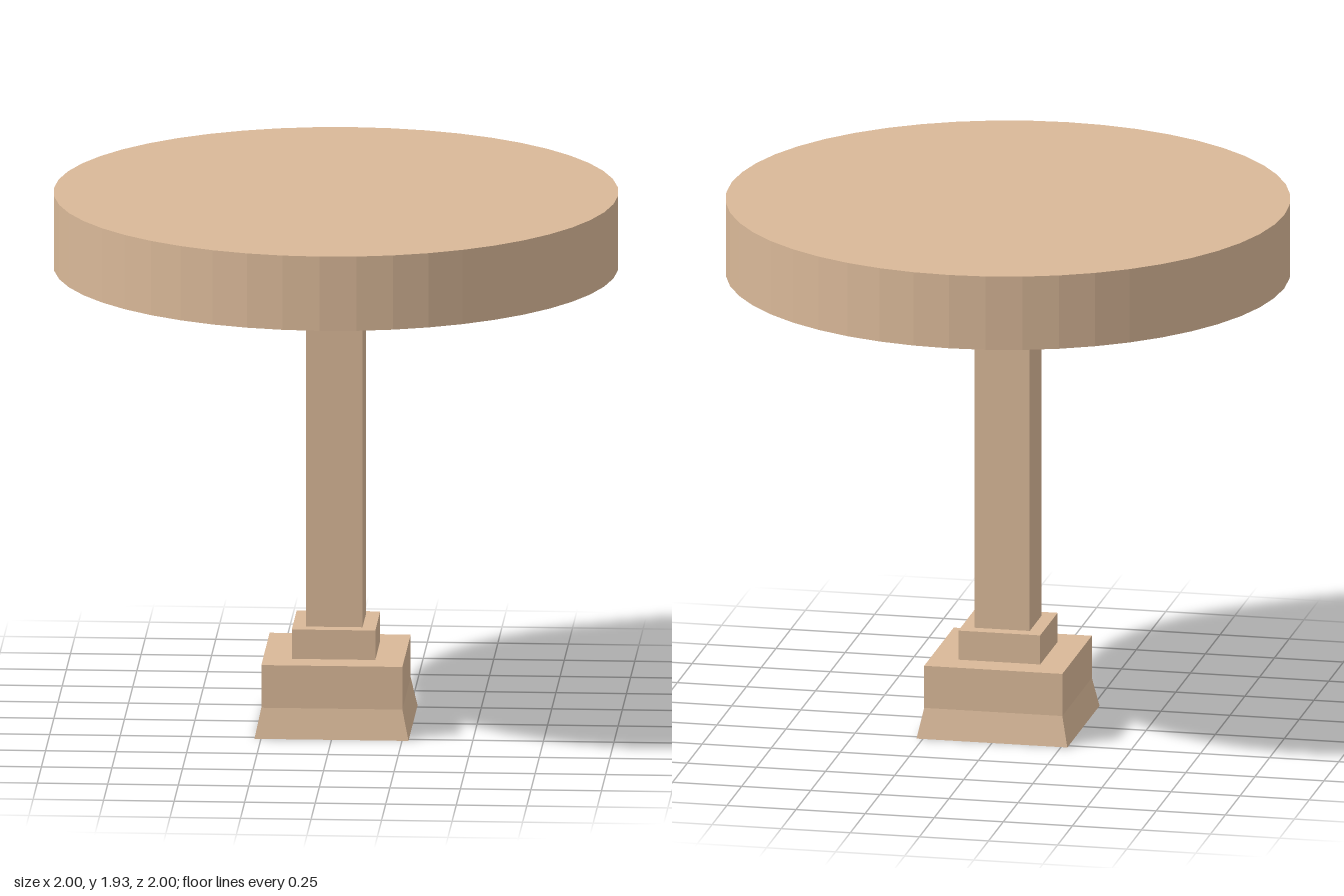
import * as THREE from 'three';

const wood = new THREE.MeshStandardMaterial({ name: 'lightWood', color: 0xd9b898, flatShading: true });

// Square block with separate half-widths at bottom and top
function block(name, bottomHalf, topHalf, y0, y1, open = false) {
  const geo = new THREE.CylinderGeometry(topHalf * Math.SQRT2, bottomHalf * Math.SQRT2, y1 - y0, 4, 1, open);
  geo.rotateY(Math.PI / 4);
  geo.translate(0, (y0 + y1) / 2, 0);
  const mesh = new THREE.Mesh(geo, wood);
  mesh.name = name;
  return mesh;
}

export function createModel() {
  const table = new THREE.Group();
  table.name = 'pedestalTable';

  // Stepped square pedestal with a flared foot
  table.add(
    block('flaredFoot', 0.273, 0.25, 0, 0.108),
    block('baseBlock', 0.25, 0.25, 0.108, 0.263),
    block('collar', 0.148, 0.148, 0.263, 0.37),
    block('post', 0.1, 0.1, 0.37, 1.66)
  );

  // Thick round faceted top
  const top = new THREE.Mesh(new THREE.CylinderGeometry(1, 1, 0.27, 48), wood);
  top.name = 'tableTop';
  top.position.y = 1.793;
  table.add(top);

  return table;
}
